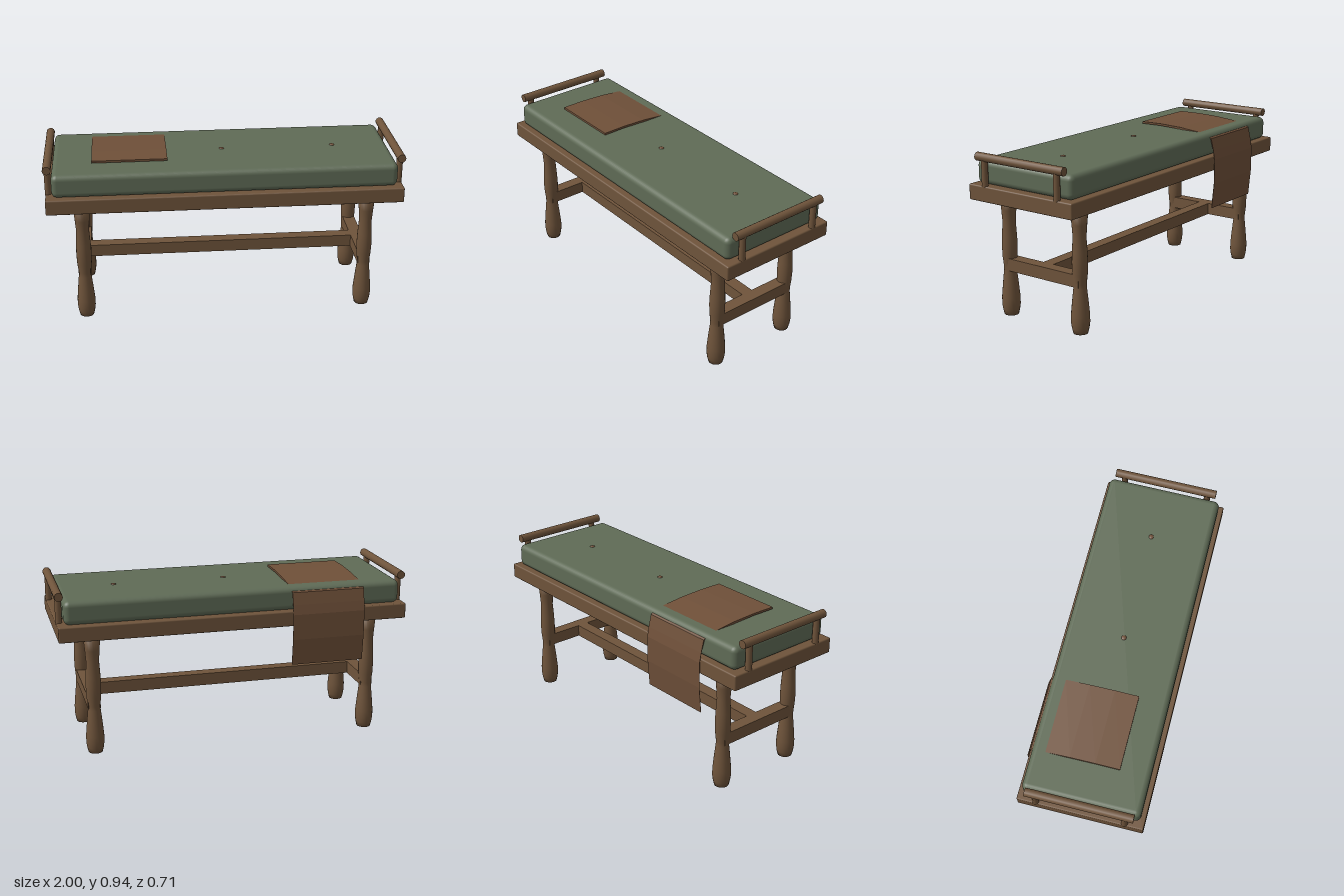
import * as THREE from 'three';
import { RoundedBoxGeometry } from 'three/addons/geometries/RoundedBoxGeometry.js';

const mat = (name, color) => Object.assign(new THREE.MeshStandardMaterial({ color }), { name });

export function createModel() {
  const wood = mat('wood', 0x6f543b);
  const fabric = mat('cushionFabric', 0x5f6b56);
  const blanket = mat('blanket', 0x6f5039);
  blanket.side = THREE.DoubleSide;

  const model = new THREE.Group();
  model.name = 'bench';
  const add = (name, geometry, material, x, y, z) => {
    const mesh = new THREE.Mesh(geometry, material);
    mesh.name = name;
    mesh.position.set(x, y, z);
    model.add(mesh);
    return mesh;
  };
  const ZC = 0.005; // middle of the bench; the hanging blanket shifts it slightly

  // Seat frame and cushion
  add('seatFrame', new RoundedBoxGeometry(1.98, 0.087, 0.7, 2, 0.008), wood, 0, 0.7215, ZC);
  add('cushion', new RoundedBoxGeometry(1.91, 0.132, 0.65, 3, 0.032), fabric, 0, 0.83, ZC);

  // Cushion buttons
  const button = new THREE.SphereGeometry(0.015, 12, 8);
  button.scale(1, 0.5, 1);
  for (const x of [-0.635, 0, 0.635]) add('cushionButton', button, blanket, x, 0.895, 0);

  // Turned legs
  const profile = [
    [0, 0], [0.04, 0], [0.047, 0.03], [0.051, 0.06], [0.051, 0.1], [0.044, 0.175], [0.036, 0.25],
    [0.035, 0.275], [0.041, 0.33], [0.043, 0.39], [0.041, 0.45], [0.036, 0.53],
    [0.041, 0.6], [0.048, 0.68], [0, 0.68],
  ].map(([r, y]) => new THREE.Vector2(r, y));
  const leg = new THREE.LatheGeometry(profile, 20);
  for (const x of [-0.8, 0.8])
    for (const z of [-0.245, 0.245]) add('leg', leg, wood, x, 0, z + ZC);

  // Stretchers in an H layout
  add('longStretcher', new THREE.BoxGeometry(1.6, 0.07, 0.07), wood, 0, 0.295, ZC);
  const sideStretcher = new THREE.BoxGeometry(0.07, 0.07, 0.52);
  for (const x of [-0.8, 0.8]) add('sideStretcher', sideStretcher, wood, x, 0.295, ZC);

  // End rails on short posts
  const rail = new THREE.CylinderGeometry(0.0235, 0.0235, 0.59, 16);
  rail.rotateX(Math.PI / 2);
  const post = new THREE.CylinderGeometry(0.018, 0.018, 0.15, 14);
  for (const x of [-0.975, 0.975]) {
    add('endRail', rail, wood, x, 0.9185, ZC);
    for (const z of [-0.245, 0.245]) add('railPost', post, wood, x, 0.83, z + ZC);
  }

  // Folded blanket: a thin strip [z, y, thickness] that dips into the cushion and hangs at the back
  const strip = [
    [0.165, 0.912, 0.012], [0.03, 0.914, 0.012], [-0.11, 0.909, 0.012], [-0.245, 0.896, 0.012],
    [-0.3, 0.886, 0.01], [-0.329, 0.868, 0.006], [-0.345, 0.8, 0.002], [-0.355, 0.745, 0.002],
    [-0.354, 0.6, 0.002], [-0.34, 0.45, 0.002],
  ];
  const outer = strip.map(([z, y]) => new THREE.Vector2(-z, y));
  const inner = strip.map(([z, y, t], i) => (i < 5
    ? new THREE.Vector2(-z, y - t)
    : new THREE.Vector2(-z - t, y))).reverse();
  const sheet = new THREE.ExtrudeGeometry(new THREE.Shape([...outer, ...inner]), {
    depth: 0.42, bevelEnabled: false,
  });
  sheet.rotateY(Math.PI / 2);
  add('blanket', sheet, blanket, -0.735, 0, 0);

  return model;
}
